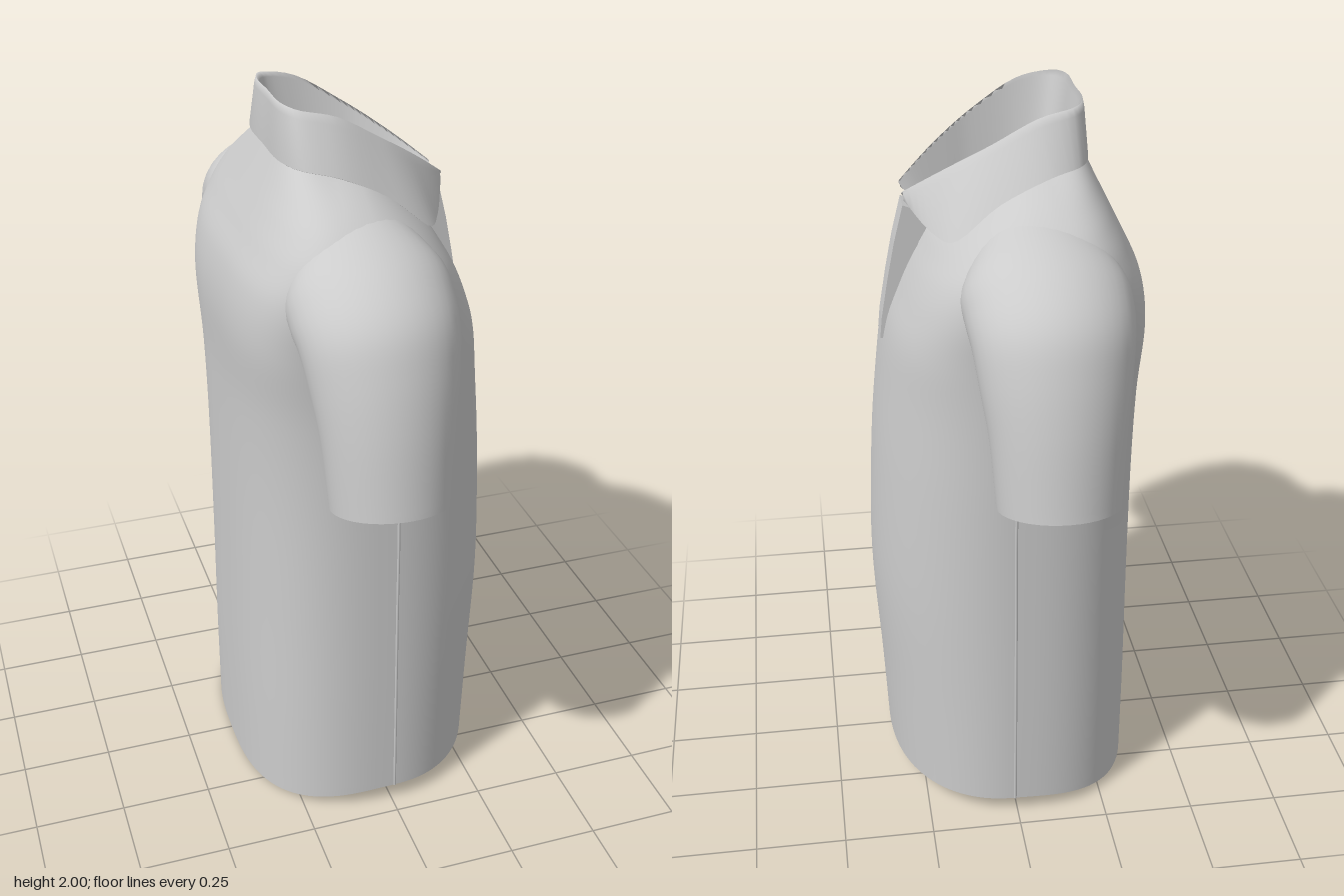
import * as THREE from 'three';

const mat = new THREE.MeshStandardMaterial({ color: 0xcccccc, side: THREE.DoubleSide });
const V = (x, y, z) => new THREE.Vector3(x, y, z);

// Skin a list of rings (arrays of points) into one smooth surface
function loft(rings, closed = true, flip = false) {
  const n = rings[0].length, pos = [], idx = [];
  rings.forEach(r => r.forEach(p => pos.push(p.x, p.y, p.z)));
  for (let i = 0; i < rings.length - 1; i++) {
    for (let j = 0; j < (closed ? n : n - 1); j++) {
      const a = i * n + j, b = i * n + (j + 1) % n, c = a + n, d = b + n;
      if (flip) idx.push(a, b, c, b, d, c);
      else idx.push(a, c, b, b, c, d);
    }
  }
  const g = new THREE.BufferGeometry();
  g.setAttribute('position', new THREE.Float32BufferAttribute(pos, 3));
  g.setIndex(idx);
  g.computeVertexNormals();
  return g;
}

// Smoothly subdivide rows of numbers (Catmull-Rom)
function smoothRows(rows, steps) {
  const out = [], last = rows.length - 1;
  const at = i => rows[Math.max(0, Math.min(last, i))];
  for (let i = 0; i < last; i++) {
    for (let s = 0; s < steps; s++) {
      const t = s / steps;
      out.push(rows[i].map((p1, k) => {
        const p0 = at(i - 1)[k], p2 = at(i + 1)[k], p3 = at(i + 2)[k];
        return p1 + 0.5 * t * (p2 - p0 + t * (2 * p0 - 5 * p1 + 4 * p2 - p3 + t * (3 * (p1 - p2) + p3 - p0)));
      }));
    }
  }
  out.push(rows[last]);
  return out;
}

const power = (v, e) => Math.sign(v) * Math.abs(v) ** e;

// Torso ring: y at back, side, front; x at back, side, front; half width;
// roundness of back and front (1 is an ellipse, less is squarer)
function torsoRing([yb, ys, yf, xb, xs, xf, zh, eb, ef], n = 96) {
  return Array.from({ length: n }, (_, j) => {
    const a = j / n * Math.PI * 2, front = Math.cos(a) > 0;
    const e = front ? ef : eb, u = Math.abs(Math.cos(a)) ** e;
    return V(
      xs + ((front ? xf : xb) - xs) * u,
      ys + ((front ? yf : yb) - ys) * u ** 1.6,
      zh * power(Math.sin(a), e));
  });
}

const TORSO = [
  [0.005, 0.056, 0.042, -0.365, 0, 0.335, 0.45, 0.74, 0.92],
  [0.3, 0.3, 0.3, -0.365, 0, 0.347, 0.448, 0.74, 0.92],
  [0.65, 0.65, 0.65, -0.362, 0, 0.365, 0.444, 0.74, 0.92],
  [1.0, 1.0, 1.0, -0.36, 0, 0.352, 0.44, 0.72, 0.9],
  [1.25, 1.25, 1.25, -0.36, -0.01, 0.328, 0.437, 0.65, 0.85],
  [1.45, 1.42, 1.4, -0.365, -0.03, 0.303, 0.44, 0.56, 0.76],
  [1.58, 1.57, 1.5, -0.345, -0.05, 0.267, 0.455, 0.56, 0.74],
  [1.67, 1.67, 1.57, -0.305, -0.07, 0.236, 0.45, 0.6, 0.74],
  [1.74, 1.735, 1.62, -0.27, -0.08, 0.208, 0.41, 0.66, 0.74],
  [1.8, 1.795, 1.66, -0.24, -0.08, 0.182, 0.33, 0.68, 0.72],
  [1.87, 1.845, 1.69, -0.205, -0.07, 0.15, 0.225, 0.6, 0.7],
];

// Rumpled inner sheet filling a ring, with height given by a rule
function rumpledSheet(ring, height) {
  const c = ring.reduce((s, p) => s.add(p), V(0, 0, 0)).divideScalar(ring.length);
  const rings = [];
  for (let i = 0; i <= 14; i++) {
    const r = 1 - i / 14;
    rings.push(ring.map(p => {
      const q = c.clone().lerp(p, r);
      q.y += (1 - r * r) * (height(q) + 0.025 * Math.sin(17 * q.x + 3) * Math.cos(15 * q.z));
      return q;
    }));
  }
  return loft(rings);
}

// Sleeve section from cuff into the shoulder: outer (z, y), inner (z, y), back x, front x
const SLEEVE = [
  [0.745, 1.16, 0.455, 1.1, -0.228, 0.084],
  [0.718, 1.35, 0.43, 1.25, -0.24, 0.097],
  [0.682, 1.5, 0.395, 1.35, -0.255, 0.115],
  [0.635, 1.61, 0.36, 1.42, -0.268, 0.128],
  [0.55, 1.69, 0.33, 1.44, -0.276, 0.138],
  [0.44, 1.745, 0.31, 1.46, -0.27, 0.14],
  [0.3, 1.785, 0.26, 1.48, -0.22, 0.1],
];

function sleeveRing([zo, yo, zi, yi, xb, xf], side, scale = 1, n = 40) {
  return Array.from({ length: n }, (_, j) => {
    const a = j / n * Math.PI * 2, s = Math.sin(a) * scale / 2;
    return V(
      (xb + xf) / 2 + (xf - xb) / 2 * Math.cos(a) * scale,
      (yo + yi) / 2 + (yo - yi) * s,
      side * ((zo + zi) / 2 + (zo - zi) * s));
  });
}

// Points along a half curve starting at the nape, mirrored to the full collar
function collarLine(pts, n = 30) {
  const full = [...pts.slice(1).reverse().map(([x, y, z]) => V(x, y, -z)), ...pts.map(p => V(...p))];
  const curve = new THREE.CatmullRomCurve3(full, false, 'centripetal');
  return Array.from({ length: 2 * n + 1 }, (_, i) => curve.getPoint(i / (2 * n)));
}

export function createModel() {
  const group = new THREE.Group();
  const add = (name, geometry) => {
    const m = new THREE.Mesh(geometry, mat);
    m.name = name;
    group.add(m);
  };

  // Torso
  add('torso', loft(smoothRows(TORSO, 6).map(r => torsoRing(r))));

  // Turned-in hem and inner sheets
  const [yb, ys, yf, xb, xs, xf, zh, eb, ef] = TORSO[0];
  const hemIn = torsoRing([yb, ys, yf, xb + 0.012, xs, xf - 0.012, zh - 0.012, eb, ef]);
  const hemTop = torsoRing([0.06, 0.09, 0.07, -0.355, 0, 0.328, 0.44, eb, ef]);
  add('hem', loft([torsoRing(TORSO[0]), hemIn, hemTop], true, true));
  add('lowerLining', rumpledSheet(hemTop, q => 0.1 - 0.7 * Math.min(q.x, 0.1)));
  const chest = torsoRing([1.25, 1.3, 1.35, -0.355, 0, 0.3, 0.42, 0.7, 0.9]);
  add('upperLining', rumpledSheet(chest, q => 0.7 * q.x));

  // Sleeves with open cuffs, and the side seams beneath them
  for (const side of [1, -1]) {
    const name = side > 0 ? 'left' : 'right';
    add(name + 'Sleeve', loft(smoothRows(SLEEVE, 6).map(r => sleeveRing(r, side)), true, side < 0));
    const inner = [
      sleeveRing(SLEEVE[0], side),
      ...SLEEVE.slice(0, 4).map(r => sleeveRing(r, side, 0.94)),
      sleeveRing(SLEEVE[3], side, 0.02)];
    add(name + 'CuffLining', loft(inner, true, side > 0));
    const seam = new THREE.CatmullRomCurve3(
      TORSO.slice(0, 5).map(r => V(r[4] + 0.008, r[1], side * r[6])));
    add(name + 'SideSeam', new THREE.TubeGeometry(seam, 24, 0.004, 6));
  }

  // Fold-over collar: inner stand, rolled top and pointed outer leaf
  const low = collarLine([[-0.17, 1.82, 0], [-0.165, 1.82, 0.1], [-0.14, 1.82, 0.14],
    [-0.06, 1.8, 0.16], [0.05, 1.74, 0.135], [0.11, 1.7, 0.1], [0.15, 1.68, 0.07], [0.2, 1.68, 0.025]]);
  const top = collarLine([[-0.2, 2.0, 0], [-0.198, 2.0, 0.12], [-0.17, 1.995, 0.17],
    [-0.08, 1.975, 0.184], [0.04, 1.905, 0.165], [0.11, 1.86, 0.135], [0.18, 1.81, 0.095], [0.25, 1.755, 0.045]]);
  const edge = collarLine([[-0.215, 1.862, 0], [-0.212, 1.862, 0.14], [-0.18, 1.862, 0.225],
    [-0.1, 1.848, 0.26], [0.03, 1.785, 0.264], [0.142, 1.695, 0.26], [0.188, 1.695, 0.19], [0.247, 1.735, 0.055]]);
  const shift = (p, dx) => { p.x += dx; return p; };
  const innerTop = low.map((p, i) => shift(p.clone().lerp(top[i], 0.92), 0.006));
  const outerTop = edge.map((p, i) => shift(p.clone().lerp(top[i], 0.85), -0.002));
  const under = edge.map((p, i) => p.clone().lerp(low[i], 0.12));
  add('collar', loft([under, edge, outerTop, top, innerTop, low], false));

  // Button placket down the chest, standing proud at the throat
  const face = [[0.32, 1.35], [0.314, 1.41], [0.295, 1.52], [0.275, 1.62], [0.25, 1.72]];
  const back = [[0.17, 1.69], [0.21, 1.62], [0.255, 1.5], [0.29, 1.35]];
  const placket = new THREE.ExtrudeGeometry(
    new THREE.Shape([...face, ...back].map(p => new THREE.Vector2(...p))), { depth: 0.08, bevelEnabled: false });
  placket.translate(0, 0, -0.05);
  add('placket', placket);

  return group;
}
